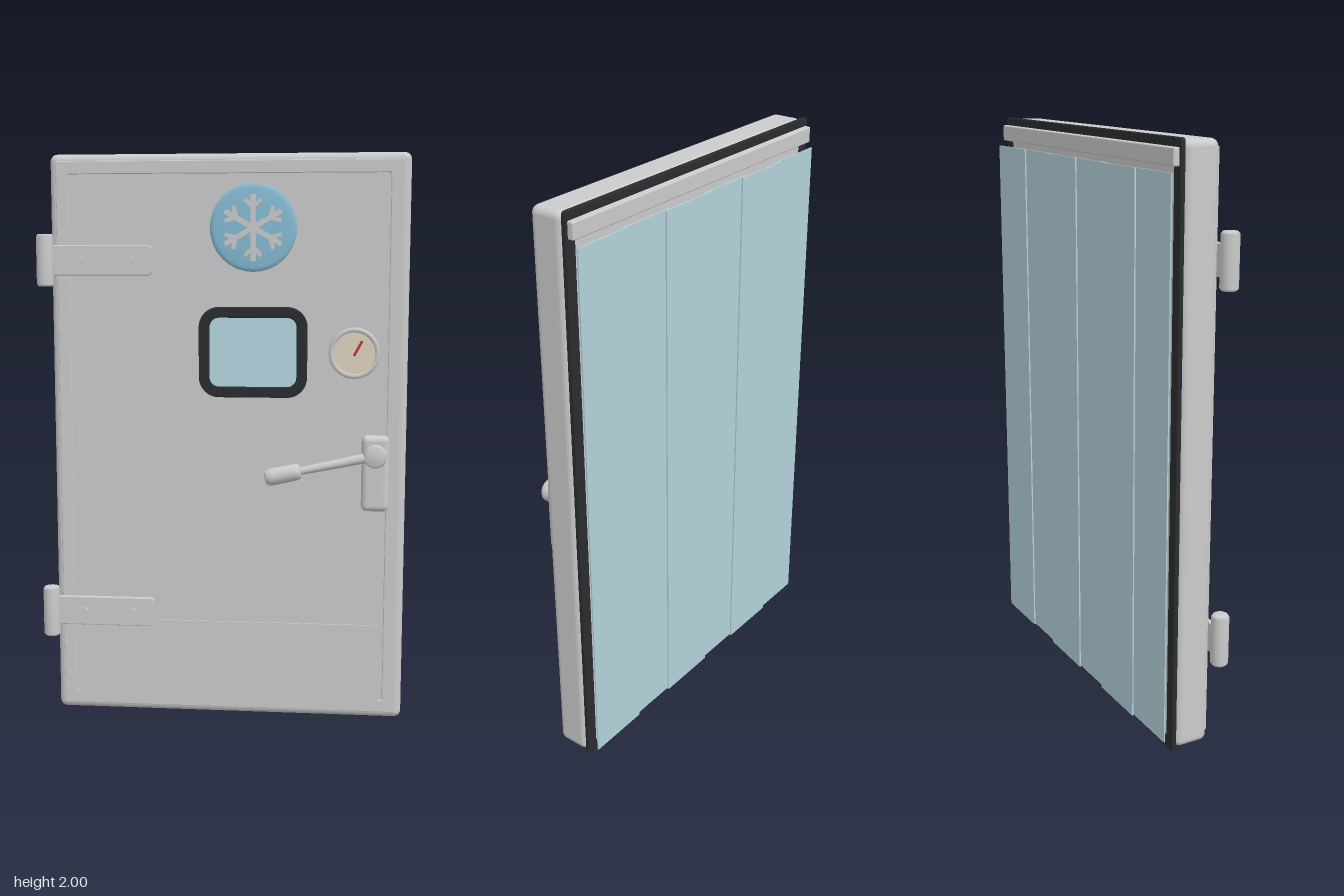
import * as THREE from 'three';
import { RoundedBoxGeometry } from 'three/addons/geometries/RoundedBoxGeometry.js';

const CX = 0.0205; // door centre line

const material = (color = 0xcccccc) => new THREE.MeshStandardMaterial({ color });
const steel = material();
const dark = material(0x2a2c2f);
const glassBlue = material(0xb4d8e2);
const badgeBlue = material(0x86bcd4);
const stripBlue = material(0xb4d2dc);
const white = material(0xf0f0f0);

export function createModel() {
  const model = new THREE.Group();

  function add(name, geometry, mat, x = 0, y = 0, z = 0, parent = model) {
    const mesh = new THREE.Mesh(geometry, mat);
    mesh.name = name;
    mesh.position.set(x, y, z);
    parent.add(mesh);
    return mesh;
  }

  // Rounded rectangle centred on the origin
  function roundRect(w, h, r, Type = THREE.Shape) {
    const s = new Type();
    const a = w / 2, b = h / 2;
    s.moveTo(-a + r, -b);
    s.lineTo(a - r, -b).absarc(a - r, -b + r, r, -Math.PI / 2, 0);
    s.lineTo(a, b - r).absarc(a - r, b - r, r, 0, Math.PI / 2);
    s.lineTo(-a + r, b).absarc(-a + r, b - r, r, Math.PI / 2, Math.PI);
    s.lineTo(-a, -b + r).absarc(-a + r, -b + r, r, Math.PI, Math.PI * 1.5);
    return s;
  }

  // Plate from z = 0 to depth, with an optional small bevel
  function extrude(shape, depth, bevel = 0) {
    const g = new THREE.ExtrudeGeometry(shape, {
      depth: depth - 2 * bevel, bevelEnabled: bevel > 0, bevelThickness: bevel,
      bevelSize: bevel, bevelOffset: -bevel, bevelSegments: 2, curveSegments: 8,
    });
    return g.translate(0, 0, bevel);
  }

  function ring(w, h, r, border, depth, bevel = 0) {
    const s = roundRect(w, h, r);
    s.holes.push(roundRect(w - 2 * border, h - 2 * border, Math.max(r - border, 0.003), THREE.Path));
    return extrude(s, depth, bevel);
  }

  // Cylinder whose axis runs along z
  const disc = (r, depth, sides = 32) =>
    new THREE.CylinderGeometry(r, r, depth, sides).rotateX(Math.PI / 2);

  // Turned part with its axis along z
  function turned(points, sides = 32) {
    const profile = points.map(([r, z]) => new THREE.Vector2(r, z));
    return new THREE.LatheGeometry(profile, sides).rotateX(Math.PI / 2);
  }

  // Insulated slab, front trim, skin and kick plate
  add('doorSlab', new RoundedBoxGeometry(1.243, 1.99, 0.122, 4, 0.025), steel, CX, 1, -0.031);
  add('frontTrim', ring(1.196, 1.942, 0.006, 0.045, 0.014, 0.003), steel, CX, 1, 0.026);
  add('frontSkin', new THREE.BoxGeometry(1.09, 1.9, 0.012), steel, 0.015, 0.982, 0.031);
  add('kickPlate', new THREE.BoxGeometry(1.085, 0.316, 0.008), steel, 0.017, 0.192, 0.038);

  // Rear gasket, inner liner and strip rail
  add('gasket', ring(1.243, 2, 0.012, 0.04, 0.016, 0.003), dark, CX, 1, -0.108);
  add('innerLiner', new THREE.BoxGeometry(1.17, 1.925, 0.012), steel, CX, 1, -0.096);
  add('stripRail', new RoundedBoxGeometry(1.225, 0.055, 0.026, 2, 0.005), steel, CX, 1.945, -0.115);

  // Overlapping curtain strips, alternating between two layers
  const curtain = new THREE.Group();
  curtain.name = 'stripCurtain';
  model.add(curtain);
  for (let i = 0; i < 6; i++) {
    add('curtainStrip', new THREE.BoxGeometry(0.227, 1.86, 0.005), stripBlue,
      -0.48 + 0.2 * i, 0.97, i % 2 ? -0.142 : -0.134, curtain);
  }

  // Hinges
  const barrel = [[0, -0.09], [0.024, -0.09], [0.03, -0.082], [0.03, 0.082], [0.024, 0.09], [0, 0.09]];
  for (const y of [0.38, 1.633]) {
    const hinge = new THREE.Group();
    hinge.name = 'hinge';
    hinge.position.set(0, y, 0);
    model.add(hinge);
    add('hingeBarrel', turned(barrel, 24).rotateX(-Math.PI / 2), steel, -0.615, 0, 0.06, hinge);
    add('hingeStrap', extrude(roundRect(0.36, 0.104, 0.014), 0.018, 0.003), steel, -0.424, 0, 0.037, hinge);
    for (const x of [-0.495, -0.32]) add('hingeBolt', disc(0.013, 0.014, 16), steel, x, 0, 0.059, hinge);
  }

  // Round badge with a six-armed flake
  const badge = new THREE.Group();
  badge.name = 'coldBadge';
  badge.position.set(0.108, 1.743, 0.036);
  model.add(badge);
  add('badgeDisc', turned([[0.15, 0], [0.15, 0.008], [0.135, 0.013], [0.08, 0.016], [0, 0.017]]), badgeBlue, 0, 0, 0, badge);
  for (let i = 0; i < 6; i++) {
    const arm = new THREE.Group();
    arm.name = 'flakeArm';
    arm.rotation.z = i * Math.PI / 3;
    badge.add(arm);
    add('flakeStem', new THREE.BoxGeometry(0.018, 0.112, 0.014), white, 0, 0.056, 0.018, arm);
    for (const side of [-1, 1]) {
      const twig = add('flakeTwig', new THREE.BoxGeometry(0.014, 0.042, 0.013), white, side * 0.014, 0.081, 0.018, arm);
      twig.rotation.z = -side * Math.PI / 4;
    }
  }

  // Viewing window
  add('windowFrame', ring(0.376, 0.313, 0.07, 0.037, 0.022, 0.004), dark, 0.108, 1.317, 0.035);
  add('windowGlass', extrude(roundRect(0.306, 0.243, 0.036), 0.012), glassBlue, 0.108, 1.317, 0.036);

  // Temperature gauge
  const gauge = new THREE.Group();
  gauge.name = 'gauge';
  gauge.position.set(0.457, 1.317, 0.036);
  model.add(gauge);
  add('gaugeRim', turned([[0.088, 0], [0.088, 0.022], [0.083, 0.027], [0.074, 0.027], [0.071, 0.02]]), steel, 0, 0, 0, gauge);
  add('gaugeFace', disc(0.073, 0.02), material(0xe0d4bf), 0, 0, 0.012, gauge);
  const needle = add('gaugeNeedle', new THREE.BoxGeometry(0.009, 0.058, 0.004), material(0xc0392b), 0.013, 0.017, 0.0235, gauge);
  needle.rotation.z = -0.5;

  // Latch handle: plate, pivot, tapered lever and grip
  const latch = new THREE.Group();
  latch.name = 'latchHandle';
  model.add(latch);
  add('latchPlate', new RoundedBoxGeometry(0.095, 0.265, 0.052, 4, 0.02), steel, 0.535, 0.902, 0.063, latch);
  add('latchPivot', turned([[0.034, 0], [0.034, 0.03], [0.04, 0.036], [0.04, 0.052], [0.032, 0.06], [0, 0.062]]),
    steel, 0.533, 0.968, 0.065, latch);

  const pivot = new THREE.Vector3(0.533, 0.968, 0.103);
  const tip = new THREE.Vector3(0.155, 0.887, 0.113);
  const direction = tip.clone().sub(pivot).normalize();
  const lever = new THREE.Group();
  lever.name = 'lever';
  lever.position.copy(pivot);
  lever.quaternion.setFromUnitVectors(new THREE.Vector3(0, 1, 0), direction);
  latch.add(lever);
  add('leverRod', new THREE.CylinderGeometry(0.013, 0.018, 0.29, 20), steel, 0, 0.145, 0, lever);
  const grip = [[0, 0.26], [0.02, 0.26], [0.027, 0.267], [0.029, 0.28], [0.03, 0.36], [0.027, 0.377], [0.018, 0.386], [0, 0.387]];
  add('leverGrip', turned(grip, 24).rotateX(-Math.PI / 2), steel, 0, 0, 0, lever);

  return model;
}
